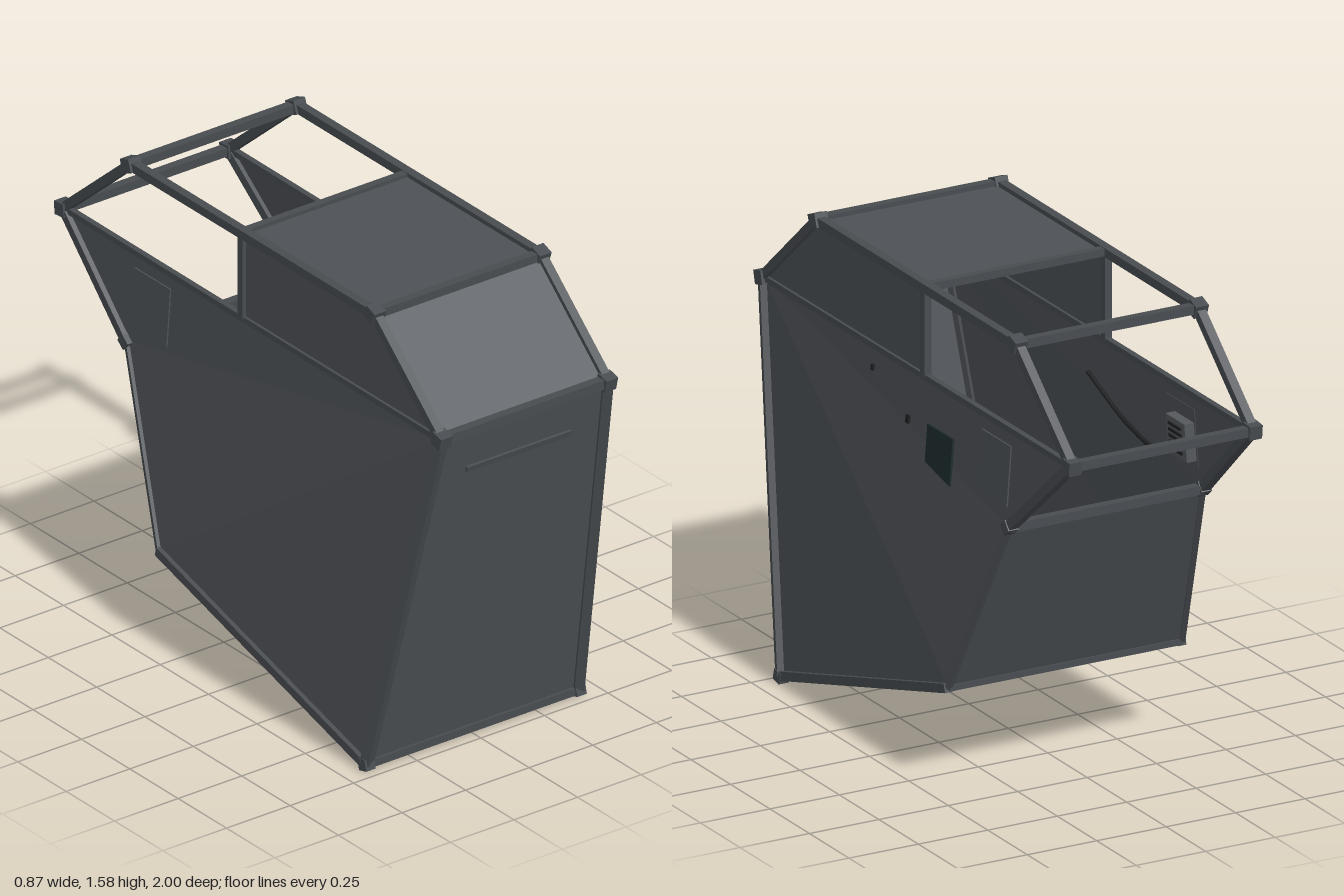
import * as THREE from 'three';

const mat = (name, color) => new THREE.MeshStandardMaterial({ name, color, side: THREE.DoubleSide });

export function createModel() {
  const root = new THREE.Group();
  root.name = 'cockpitPod';
  const panelMat = mat('panel grey', 0x4d5156);
  const frameMat = mat('frame grey', 0x484c50);
  const glassMat = mat('dark teal', 0x1f2d2d);
  const deviceMat = mat('device grey', 0x55595c);
  const darkMat = mat('cable black', 0x1e2021);

  // Half-section corners on the +x side: x, y, z
  const P = {
    beltFront: [0.325, 1.255, 0.975], footFront: [0.415, 0.025, 0.705], footRear: [0.42, 0.335, -0.36],
    shelf: [0.348, 0.945, -0.62], beltRear: [0.325, 1.26, -0.975],
    roofRear: [0.325, 1.557, -0.63], roofFront: [0.325, 1.557, 0.63],
    beltMid: [0.325, 1.26, -0.05], roofMid: [0.325, 1.557, -0.05],
  };
  const at = (key, s) => new THREE.Vector3(P[key][0] * s, P[key][1], P[key][2]);

  const add = (name, geometry, material, parent = root) => {
    const mesh = new THREE.Mesh(geometry, material);
    mesh.name = name;
    parent.add(mesh);
    return mesh;
  };

  // Flat sheet: a fan through the given points
  const sheet = (name, pts) => {
    const fan = [];
    for (let i = 1; i < pts.length - 1; i++) fan.push(pts[0], pts[i], pts[i + 1]);
    const g = new THREE.BufferGeometry().setFromPoints(fan);
    g.computeVertexNormals();
    return add(name, g, panelMat);
  };

  // Square bar from a to b
  const bar = (name, a, b, w = 0.032, h = w) => {
    const m = add(name, new THREE.BoxGeometry(w, h, a.distanceTo(b)), frameMat);
    m.position.copy(a).add(b).multiplyScalar(0.5);
    m.lookAt(b);
    return m;
  };

  // Sheets that span the full width
  const spans = [
    ['frontPanel', 'beltFront', 'footFront'], ['bottomPanel', 'footFront', 'footRear'],
    ['backPanel', 'footRear', 'shelf'], ['nosePanel', 'roofFront', 'beltFront'],
    ['roofPanel', 'roofMid', 'roofFront'],
  ];
  for (const [name, a, b] of spans) sheet(name, [at(a, -1), at(a, 1), at(b, 1), at(b, -1)]);

  // Side walls and the rails of each side
  const rails = [
    ['frontPost', 'beltFront', 'footFront', 0.034], ['bottomRail', 'footFront', 'footRear', 0.03],
    ['backRail', 'footRear', 'shelf', 0.018], ['shelfRail', 'shelf', 'beltRear', 0.032],
    ['rearStrut', 'beltRear', 'roofRear', 0.03], ['roofRail', 'roofRear', 'roofFront', 0.03],
    ['noseRail', 'roofFront', 'beltFront', 0.03], ['beltRail', 'beltFront', 'beltRear', 0.02],
    ['windowPost', 'beltMid', 'roofMid', 0.026],
  ];
  for (const s of [1, -1]) {
    sheet('sideWall', ['beltFront', 'footFront', 'footRear', 'shelf', 'beltRear'].map((k) => at(k, s)));
    sheet('upperSideWall', ['beltFront', 'beltMid', 'roofMid', 'roofFront'].map((k) => at(k, s)));
    for (const [name, a, b, w] of rails) bar(name, at(a, s), at(b, s), w);
    // Corner joints, tilted with the slope of the frame
    for (const [key, tilt] of [['roofFront', 0.35], ['roofRear', -0.35], ['beltFront', 0.25],
      ['beltRear', -0.1], ['footFront', -0.25], ['shelf', 0.7]]) {
      const size = key === 'footFront' || key === 'shelf' ? 0.038 : 0.046;
      const joint = add('cornerJoint', new THREE.BoxGeometry(size, size, size), frameMat);
      joint.position.copy(at(key, s));
      joint.rotation.x = tilt;
    }
  }

  // Cross bars
  for (const [key, w] of [['roofFront', 0.03], ['roofRear', 0.03], ['roofMid', 0.026], ['beltFront', 0.032],
    ['beltRear', 0.03], ['shelf', 0.03], ['footFront', 0.026], ['footRear', 0.02]]) {
    bar('crossBar', at(key, -1), at(key, 1), w);
  }

  // Low grab ledge on the front panel
  const ledge = add('frontLedge', new THREE.BoxGeometry(0.41, 0.02, 0.016), frameMat);
  ledge.position.set(0, 1.1, 0.942);
  ledge.rotation.x = 0.21;

  // Slab that follows the leaning side wall; outline in z, y
  const wallX = (y) => 0.325 + 0.0735 * (1.26 - y);
  const slab = (name, s, outline, from, depth, material) => {
    const shape = new THREE.Shape(outline.map(([z, y]) => new THREE.Vector2(z, y)));
    const g = new THREE.ExtrudeGeometry(shape, { depth, bevelEnabled: false });
    const p = g.attributes.position;
    for (let i = 0; i < p.count; i++) {
      const z = p.getX(i), y = p.getY(i), d = p.getZ(i);
      p.setXYZ(i, s * (wallX(y) + from + d), y, z);
    }
    g.computeVertexNormals();
    return add(name, g, material);
  };
  const rect = (z, y, w, h) => [[z - w / 2, y - h / 2], [z + w / 2, y - h / 2], [z + w / 2, y + h / 2], [z - w / 2, y + h / 2]];

  // Outside hatches, side port and small fittings
  for (const s of [1, -1]) slab('sideHatch', s, rect(-0.51, 1.105, 0.185, 0.2), -0.002, 0.007, panelMat);
  slab('sidePort', 1, [[-0.09, 1.115], [-0.25, 1.115], [-0.25, 0.96], [-0.09, 0.99]], -0.002, 0.009, glassMat);
  slab('fitting', 1, rect(0.27, 1.185, 0.012, 0.02), 0, 0.008, darkMat);
  slab('fitting', 1, rect(0.035, 1.09, 0.018, 0.026), 0, 0.008, darkMat);

  // Control boxes inside the walls, with ribs
  const controlBox = (s, z, y, w, h, ribs) => {
    slab('controlBox', s, rect(z, y, w, h), -0.045, 0.035, deviceMat);
    for (let i = 0; i < ribs; i++) {
      slab('controlRib', s, rect(z, y + h * ((i + 0.5) / ribs - 0.5) * 0.8, w * 0.65, h * 0.07), -0.051, 0.007, darkMat);
    }
  };
  controlBox(1, -0.51, 1.11, 0.15, 0.18, 3);
  controlBox(1, -0.18, 1.07, 0.13, 0.15, 5);
  controlBox(-1, -0.55, 1.1, 0.12, 0.13, 5);

  // Cables along the inner walls
  const cable = (s, pts) => {
    const curve = new THREE.CatmullRomCurve3(pts.map(([z, y]) => new THREE.Vector3(s * (wallX(y) - 0.02), y, z)));
    add('cable', new THREE.TubeGeometry(curve, 24, 0.008, 6), darkMat);
  };
  cable(1, [[-0.45, 1.02], [-0.36, 0.97], [-0.27, 1.0], [-0.18, 1.02]]);
  cable(1, [[-0.12, 1.1], [-0.04, 1.12], [0.03, 1.2], [0.12, 1.21]]);
  cable(-1, [[-0.88, 1.215], [-0.8, 1.17], [-0.72, 1.14], [-0.62, 1.1]]);
  cable(-1, [[-0.5, 1.08], [-0.4, 1.0], [-0.2, 1.02], [0.05, 1.12]]);

  return root;
}
